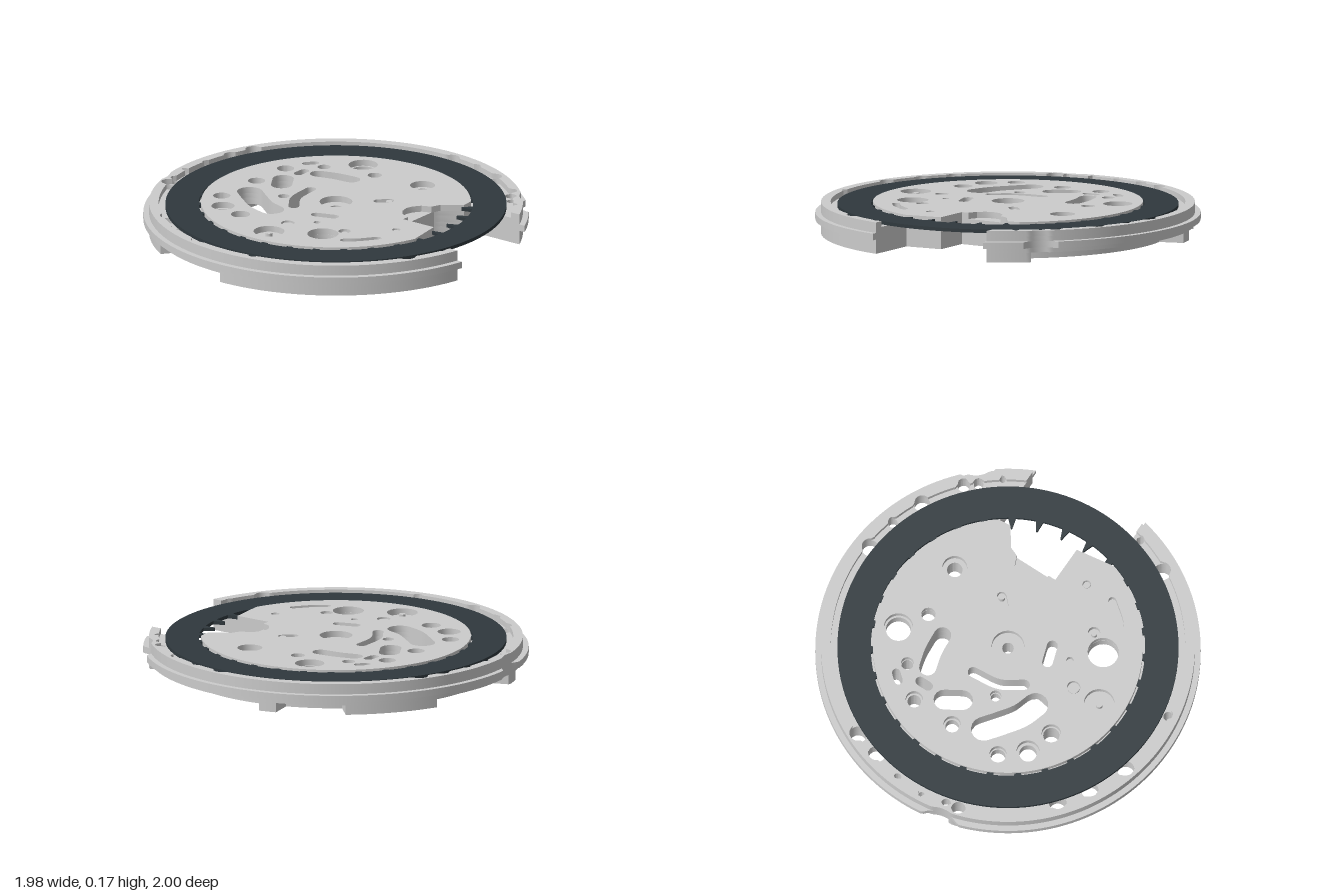
import * as THREE from 'three';
import { toCreasedNormals } from 'three/addons/utils/BufferGeometryUtils.js';

const TAU = Math.PI * 2;
const grey = new THREE.MeshStandardMaterial({ color: 0xcccccc });
const dark = new THREE.MeshStandardMaterial({ color: 0x2f383d });

// Plan outlines are lists of [x, z]
const circle = (x, z, r, n = 32) => Array.from({ length: n }, (_, i) =>
  [x + r * Math.cos(i / n * TAU), z + r * Math.sin(i / n * TAU)]);

// Rounded slot of half-width r along a smooth path
function slot(path, r) {
  const curve = new THREE.CatmullRomCurve3(path.map(([x, z]) => new THREE.Vector3(x, 0, z)));
  const n = 14, left = [], right = [];
  const at = (t, turn) => {
    const p = curve.getPoint(t), d = curve.getTangent(t);
    const a = Math.atan2(d.z, d.x) + turn;
    return [p.x + r * Math.cos(a), p.z + r * Math.sin(a)];
  };
  for (let i = 0; i <= n; i++) {
    left.push(at(i / n, Math.PI / 2));
    right.unshift(at(i / n, -Math.PI / 2));
  }
  const cap = (t, from) => [1, 2, 3, 4, 5, 6, 7].map(i => at(t, from - i * Math.PI / 8));
  return [...left, ...cap(1, Math.PI / 2), ...right, ...cap(0, -Math.PI / 2)];
}

function inside([x, z], poly) {
  let hit = false;
  poly.forEach(([ax, az], i) => {
    const [bx, bz] = poly[(i + 1) % poly.length];
    if ((az > z) !== (bz > z) && x < ax + (z - az) / (bz - az) * (bx - ax)) hit = !hit;
  });
  return hit;
}

// Distances where a ray from the centre enters and leaves a circle
function crossing(a, [x, z, r]) {
  const along = x * Math.cos(a) + z * Math.sin(a);
  const off = z * Math.cos(a) - x * Math.sin(a);
  if (along < 0 || Math.abs(off) >= r) return null;
  const h = Math.sqrt(r * r - off * off);
  return [along - h, along + h];
}

// Arc running around the plate from the lower to the upper side of the notch
function arc(R, bites, { inner = false, gaps = [] } = {}) {
  const a0 = Math.asin(0.2 / R), a1 = TAU - Math.asin(0.43 / R), n = 400;
  return Array.from({ length: n + 1 }, (_, i) => {
    const a = a0 + (a1 - a0) * i / n, deg = a * 360 / TAU;
    let r = gaps.some(([from, to]) => deg > from && deg < to) ? 0.84 : R;
    for (const b of bites) {
      const c = crossing(a, b);
      if (c && c[0] < r && c[1] > r) r = inner ? c[1] : c[0];
    }
    return [r * Math.cos(a), r * Math.sin(a)];
  });
}

function slab(name, outline, holes, y0, y1, material = grey) {
  // Outline counter-clockwise and holes clockwise, so all walls face outwards
  const wound = (pts, clockwise) => {
    const v = pts.map(([x, z]) => new THREE.Vector2(x, -z));
    return THREE.ShapeUtils.isClockWise(v) === clockwise ? v : v.reverse();
  };
  const shape = new THREE.Shape(wound(outline, false));
  shape.holes = holes.map(h => new THREE.Path(wound(h, true)));
  let geo = new THREE.ExtrudeGeometry(shape, { depth: y1 - y0, bevelEnabled: false });
  geo.rotateX(-Math.PI / 2).translate(0.01, y0, 0);
  geo = toCreasedNormals(geo, 0.5);
  const mesh = new THREE.Mesh(geo, material);
  mesh.name = name;
  return mesh;
}

// Drilled holes near the rim: x, z, radius
const rimHoles = [
  [0.06, -0.9, 0.045], [0.24, -0.88, 0.025], [0.41, -0.81, 0.042], [0.615, -0.69, 0.032],
  [0.665, -0.63, 0.025], [0.755, -0.54, 0.015], [0.875, 0.24, 0.02], [0.795, 0.43, 0.045],
  [0.15, 0.9, 0.025], [-0.215, 0.88, 0.045], [-0.415, 0.79, 0.045], [-0.565, 0.69, 0.045],
  [-0.83, -0.38, 0.045], [-0.865, -0.24, 0.045], [-0.91, -0.08, 0.02], [-0.925, 0.08, 0.018],
  [-0.89, 0.21, 0.025], [-0.88, 0.28, 0.038],
];
// Drilled holes in the middle: x, z, radius, counterbore radius
const plateHoles = [
  [-0.23, -0.53, 0.065, 0.076], [-0.085, -0.44, 0.036, 0.037], [0.205, -0.47, 0.04, 0.065],
  [-0.37, -0.38, 0.03, 0.034], [-0.515, -0.24, 0.035, 0.045], [-0.52, 0, 0.035, 0.045],
  [-0.525, 0.29, 0.038, 0.045], [-0.425, 0.41, 0.045, 0.06], [-0.275, 0.455, 0.042, 0.05],
  [0.245, 0.43, 0.08, 0.081], [0, 0, 0.03, 0.085], [-0.265, 0.1, 0.025, 0.03],
];
const slots = [
  slot([[-0.43, -0.11], [-0.38, -0.03]], 0.055),
  slot([[-0.45, 0.15], [-0.37, 0.21], [-0.28, 0.27], [-0.19, 0.3]], 0.066),
  slot([[-0.22, -0.07], [-0.2, 0.08], [-0.13, 0.19]], 0.028),
  slot([[0.04, 0.22], [0.13, 0.19]], 0.028),
  slot([[-0.33, -0.28], [-0.24, -0.305], [-0.14, -0.315]], 0.045),
  slot([[-0.415, -0.27], [-0.415, -0.22]], 0.025),
  slot([[-0.475, -0.365], [-0.445, -0.4]], 0.022),
];

// Open notch on one side of the plate
const notch = [[0.55, -0.43], [0.56, -0.36], [0.46, -0.29], [0.44, -0.26], [0.44, 0], [0.64, 0], [0.66, 0.2]];
const topNotch = [[0.56, -0.36], [0.46, -0.29], [0.44, -0.24], [0.39, -0.22], [0.36, -0.18], [0.35, -0.14],
  [0.36, -0.1], [0.39, -0.06], [0.44, -0.04], [0.44, 0], [0.64, 0]];
const edgeBites = [[0.79, -0.73, 0.12], [-1.08, 0.25, 0.15]];

// Underside pockets: barrel, balance, gear train, kidney
const barrel = circle(0.25, 0.43, 0.36, 64);
const balance = circle(-0.17, -0.54, 0.175, 48);
const train = [[-0.46, -0.185], [-0.38, -0.185], [-0.18, -0.14], [-0.13, 0], [-0.085, 0.16],
  [-0.105, 0.26], [-0.12, 0.35], [-0.15, 0.385], [-0.24, 0.375], [-0.345, 0.36], [-0.36, 0.52],
  [-0.46, 0.59], [-0.55, 0.57], [-0.64, 0.5], [-0.7, 0.42], [-0.76, 0.28], [-0.7, 0.14],
  [-0.59, 0.05], [-0.57, -0.1]];
const kidney = slot([[0.36, -0.68], [0.47, -0.59]], 0.05);
// Sectors, in degrees, where the lower rim wall is cut back between the feet
const rimGaps = [[91, 122], [141, 158.5], [165, 199.5], [230, 251], [258, 319.5]];

export function createModel() {
  const model = new THREE.Group();
  model.name = 'movementPlate';
  const drilled = [...rimHoles, ...plateHoles].map(([x, z, r]) => circle(x, z, r));
  const through = [...drilled, ...slots];
  const withPockets = (list, outline) => [...list,
    ...through.filter(h => inside(h[0], outline) && !list.some(p => inside(h[0], p)))];
  const body = [...arc(0.97, edgeBites), ...notch];
  const feet = [...arc(0.97, edgeBites, { gaps: rimGaps }), ...notch];

  // Stacked layers of the main plate, from the underside up
  model.add(
    slab('undersideBridgeLayer', feet, withPockets([barrel, balance, train, kidney], feet), 0, 0.05),
    slab('pocketLayer', body, withPockets([barrel, balance, train], body), 0.05, 0.075),
    slab('rimFlange', [...arc(1, edgeBites), ...notch], through, 0.075, 0.11),
    slab('mainPlate', body, through, 0.11, 0.135),
    slab('outerRim', [...arc(0.97, edgeBites), ...arc(0.92, rimHoles, { inner: true }).reverse()], [], 0.135, 0.165),
  );

  // Raised middle plate with counterbores and shallow recesses
  const recesses = [
    ...plateHoles.map(([x, z, , r]) => circle(x, z, r)), ...slots,
    circle(0, 0.57, 0.08), circle(0, 0.41, 0.035), circle(0.31, 0.33, 0.032),
    circle(0.51, 0.15, 0.022), circle(0.115, 0.31, 0.018),
    slot([[0.39, 0.44], [0.44, 0.4], [0.51, 0.31]], 0.02), slot([[0.17, -0.14], [0.21, -0.18]], 0.025),
  ];
  model.add(slab('middlePlate', [...arc(0.7, []), ...topNotch], recesses, 0.135, 0.168));

  // Studs standing in the recesses
  for (const [x, z, r, y] of [[0, 0.57, 0.018, 0.16], [0.31, 0.33, 0.016, 0.16],
    [0.21, -0.18, 0.018, 0.165], [0, 0.41, 0.03, 0.16], [0.51, 0.15, 0.018, 0.16]])
    model.add(slab('stud', circle(x, z, r, 24), [], 0.13, y));

  // Flat indicator ring with inward teeth
  const teeth = [], count = 31;
  for (let i = 0; i < count; i++) {
    const a = i / count * TAU + 0.02;
    for (const [da, r] of [[0, 0.712], [0.02, 0.655], [0.03, 0.655], [0.055, 0.712],
      [0.1, 0.712], [0.15, 0.712]])
      teeth.push([r * Math.cos(a + da), r * Math.sin(a + da)]);
  }
  model.add(slab('indicatorRing', circle(0, 0, 0.885, 128), [teeth], 0.14, 0.158, dark));
  return model;
}
